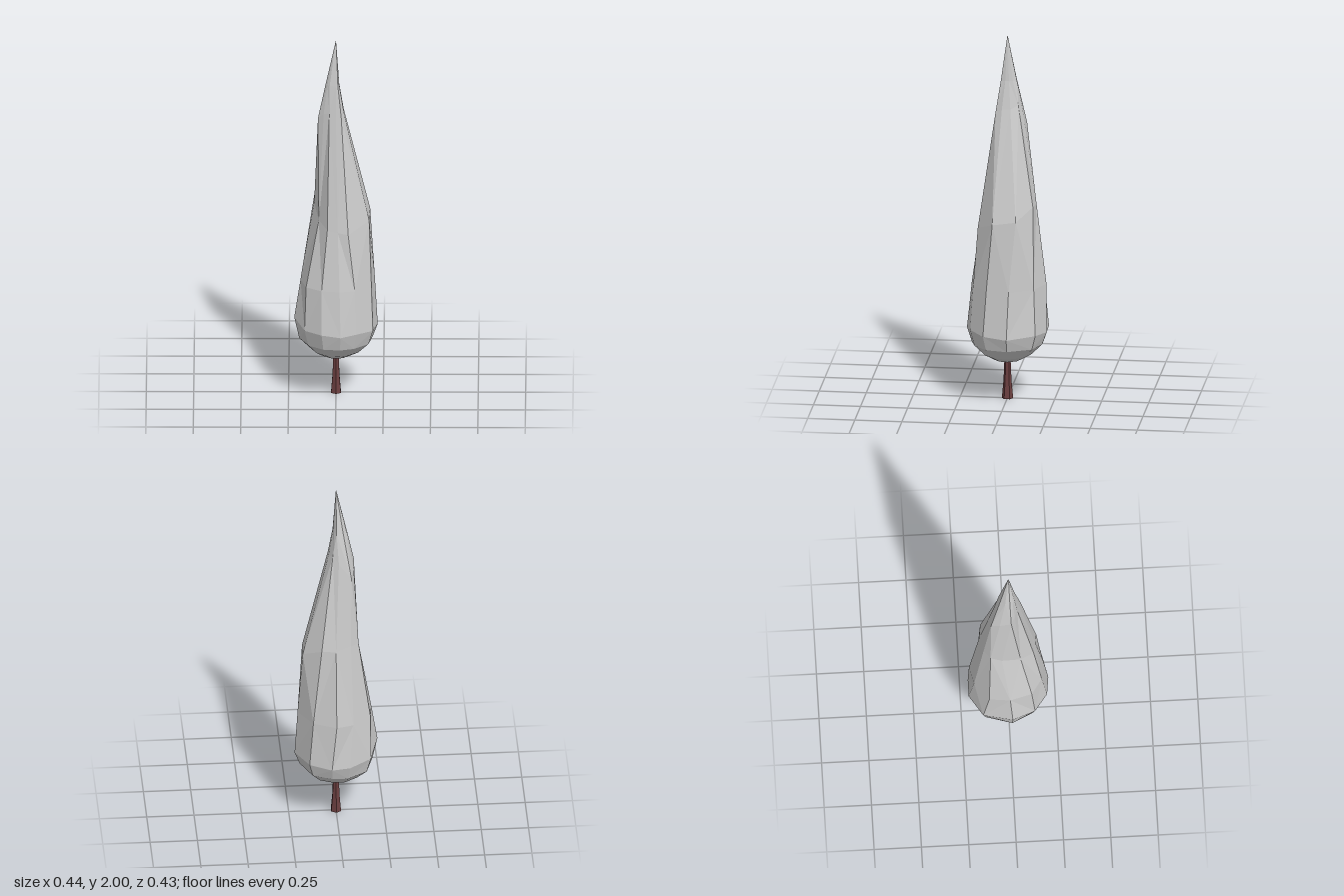
import * as THREE from 'three';

// Horizontal sections of the crown: 11 corners each as x, z, running from +x towards +z.
const base = [.22, -.02, .195, .107, .11, .185, .025, .212, -.075, .2, -.165, .132,
  -.22, .012, -.175, -.142, -.06, -.213, .035, -.213, .15, -.165];
const belly = [.205, -.03, .187, .09, .1, .17, .02, .187, -.075, .172, -.157, .115,
  -.187, 0, -.175, -.11, -.08, -.185, .01, -.208, .13, -.155];
const waist = [.18, -.065, .175, .06, .065, .15, .01, .143, -.045, .13, -.09, .06,
  -.115, -.04, -.112, -.1, -.07, -.135, .01, -.155, .085, -.145];
const neck = [.041, -.02, .041, .025, .028, .06, 0, .055, -.035, .045, -.065, .03,
  -.095, .01, -.09, -.05, -.075, -.095, -.01, -.08, .02, -.06];
const tip = [.017, -.01, .017, .01, .01, .034, 0, .034, -.033, .03, -.045, .02,
  -.055, .005, -.052, -.02, -.035, -.045, 0, -.05, .012, -.03];

// Height offset of each corner, so the sections are not level
const baseTilt = [-.02, -.01, 0, -.01, 0, 0, .03, 0, -.01, -.02, -.01];
const waistTilt = [.02, 0, -.05, -.04, -.03, 0, .06, .1, .1, .08, .08];
const neckTilt = [0, 0, -.02, -.01, 0, -.01, -.04, -.07, -.1, -.02, .02];
const level = new Array(11).fill(0);

function section(points, y, tilt = level, scale = 1) {
  return tilt.map((t, i) => new THREE.Vector3(points[2 * i] * scale, y + t, points[2 * i + 1] * scale));
}

// Joins the sections with triangles, alternating the diagonals, and closes both ends
function loft(sections, bottom, top) {
  const pos = [];
  const tri = (...corners) => corners.forEach((v) => pos.push(v.x, v.y, v.z));
  const n = sections[0].length;
  const last = sections[sections.length - 1];
  for (let i = 0; i < n; i++) {
    const j = (i + 1) % n;
    tri(bottom, sections[0][i], sections[0][j]);
    for (let r = 0; r < sections.length - 1; r++) {
      const a = sections[r][i], b = sections[r][j];
      const c = sections[r + 1][j], d = sections[r + 1][i];
      if ((i + r) % 2) { tri(a, d, b); tri(b, d, c); }
      else { tri(a, c, b); tri(a, d, c); }
    }
    tri(last[i], top, last[j]);
  }
  const geometry = new THREE.BufferGeometry();
  geometry.setAttribute('position', new THREE.Float32BufferAttribute(pos, 3));
  geometry.computeVertexNormals();
  return geometry;
}

export function createModel() {
  const tree = new THREE.Group();
  tree.name = 'cypressTree';

  // Slender, slightly leaning crown
  const crown = new THREE.Mesh(
    loft([
      section(base, .218, level, .34),
      section(base, .25, level, .6),
      section(base, .31, level, .88),
      section(base, .4, baseTilt),
      section(belly, .64),
      section(waist, 1, waistTilt),
      section(neck, 1.6, neckTilt),
      section(tip, 1.75),
    ], new THREE.Vector3(0, .208, 0), new THREE.Vector3(0, 2, 0)),
    new THREE.MeshStandardMaterial({ color: 0xcccccc, flatShading: true })
  );
  crown.name = 'crown';

  // Short trunk, flared at the foot
  const profile = [[0, 0], [.03, 0], [.021, .1], [.017, .2], [.016, .26]];
  const trunk = new THREE.Mesh(
    new THREE.LatheGeometry(profile.map(([r, y]) => new THREE.Vector2(r, y)), 6),
    new THREE.MeshStandardMaterial({ color: 0x6b3f40, flatShading: true })
  );
  trunk.name = 'trunk';

  tree.add(crown, trunk);
  return tree;
}
